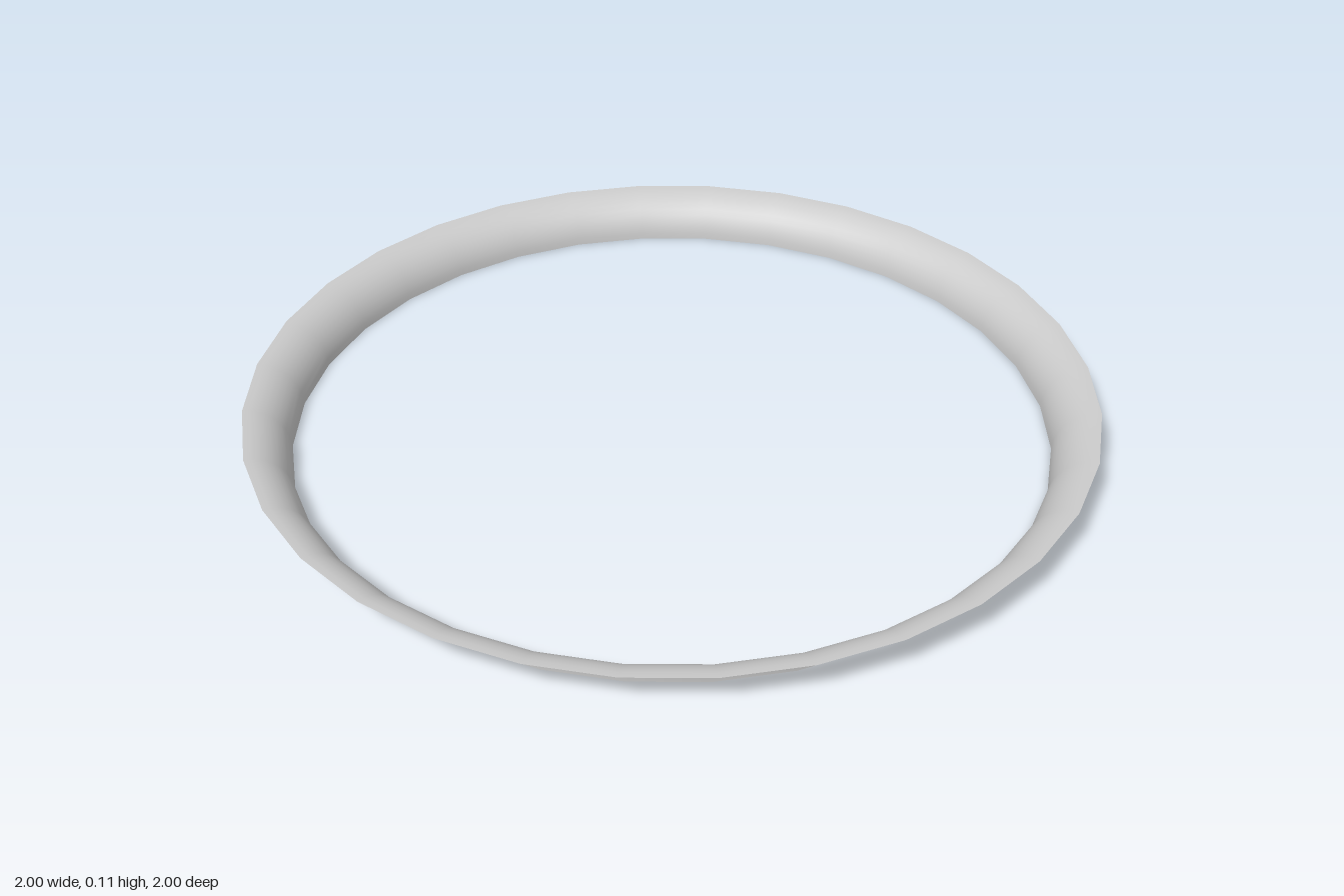
import * as THREE from 'three';

const OUTER_RADIUS = 1;
const FLARE_WIDTH = 0.105;
const HEIGHT = 0.107;
const PROFILE_STEPS = 10;
const SIDES = 32;

export function createModel() {
  const group = new THREE.Group();
  group.name = 'flaredRing';

  // Quarter-round cove: upright at the bottom edge, flaring out flat at the rim
  const profile = [];
  for (let i = 0; i <= PROFILE_STEPS; i++) {
    const a = (i / PROFILE_STEPS) * Math.PI / 2;
    profile.push(new THREE.Vector2(
      OUTER_RADIUS - FLARE_WIDTH * Math.cos(a),
      HEIGHT * Math.sin(a)
    ));
  }

  // Thin open surface, seen from both sides
  const material = new THREE.MeshStandardMaterial({ color: 0xcccccc, side: THREE.DoubleSide });
  const flare = new THREE.Mesh(new THREE.LatheGeometry(profile, SIDES), material);
  flare.name = 'coveRim';
  group.add(flare);

  return group;
}
